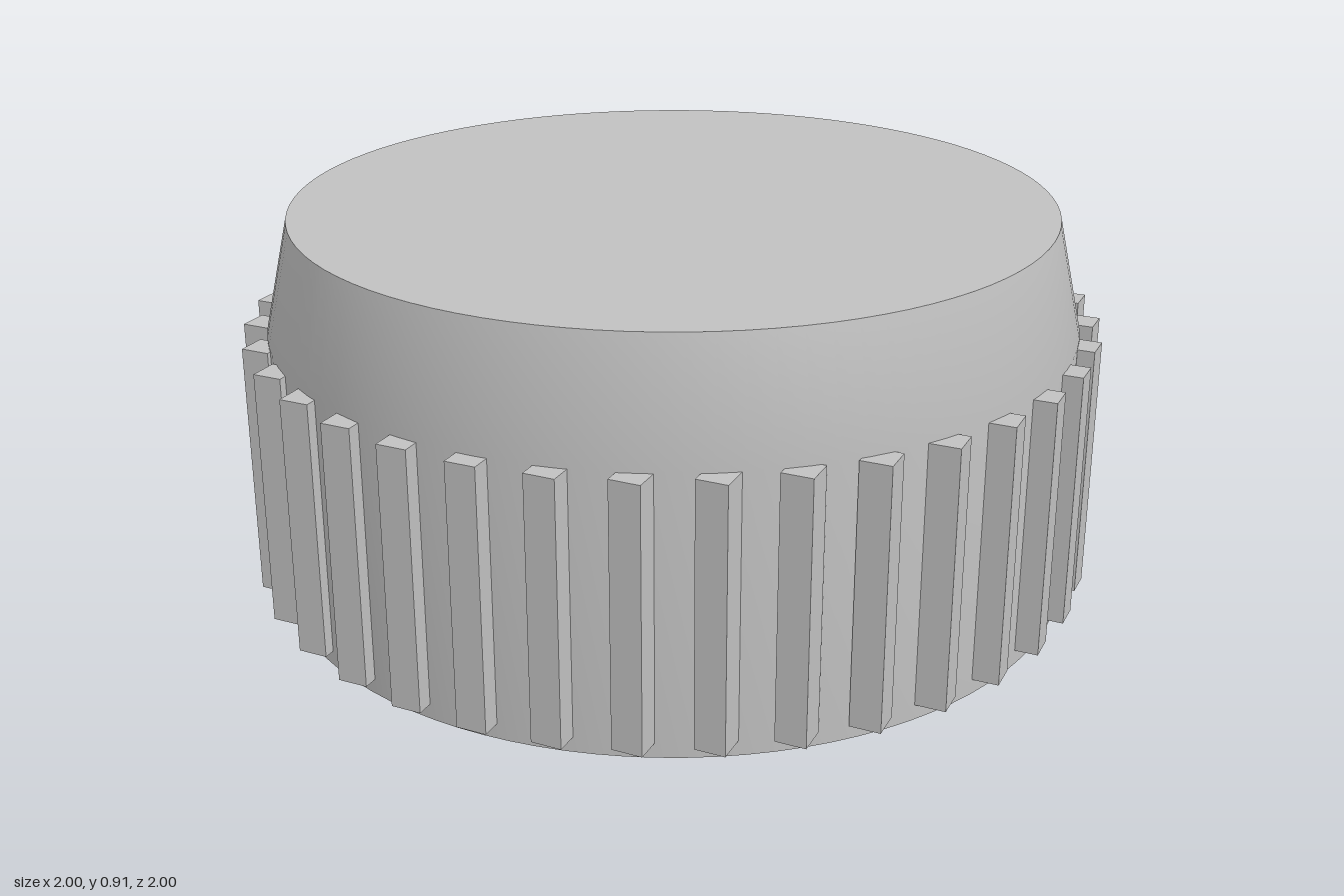
import * as THREE from 'three';

export function createModel() {
  const group = new THREE.Group();
  const grey = new THREE.MeshStandardMaterial({ color: 0xc0c0c0 });
  grey.name = 'light grey';

  const add = (name, geometry, x, y, z, parent = group) => {
    const mesh = new THREE.Mesh(geometry, grey);
    mesh.name = name;
    mesh.position.set(x, y, z);
    parent.add(mesh);
    return mesh;
  };

  const radius = 0.955, topRadius = 0.895, height = 0.91, segments = 96;

  // Body wall: straight skirt blending smoothly into a tapered shoulder
  const profile = [[radius, 0], [radius, 0.645], [topRadius, height]]
    .map(([r, y]) => new THREE.Vector2(r, y));
  add('bodyWall', new THREE.LatheGeometry(profile, segments), 0, 0, 0);

  // Flat end faces
  add('topFace', new THREE.CircleGeometry(topRadius, segments), 0, height, 0).rotation.x = -Math.PI / 2;
  add('bottomFace', new THREE.CircleGeometry(radius, segments), 0, 0, 0).rotation.x = Math.PI / 2;

  // Grip ribs: square bars around the skirt, all kept parallel to the axes
  const ribs = new THREE.Group();
  ribs.name = 'gripRibs';
  group.add(ribs);
  const ribCount = 36, ribWidth = 0.07, ribRadius = 0.965;
  const ribGeometry = new THREE.BoxGeometry(ribWidth, 0.605, ribWidth);
  for (let i = 0; i < ribCount; i++) {
    const a = (i / ribCount) * Math.PI * 2;
    add('gripRib', ribGeometry, ribRadius * Math.sin(a), 0.3375, ribRadius * Math.cos(a), ribs);
  }

  return group;
}
